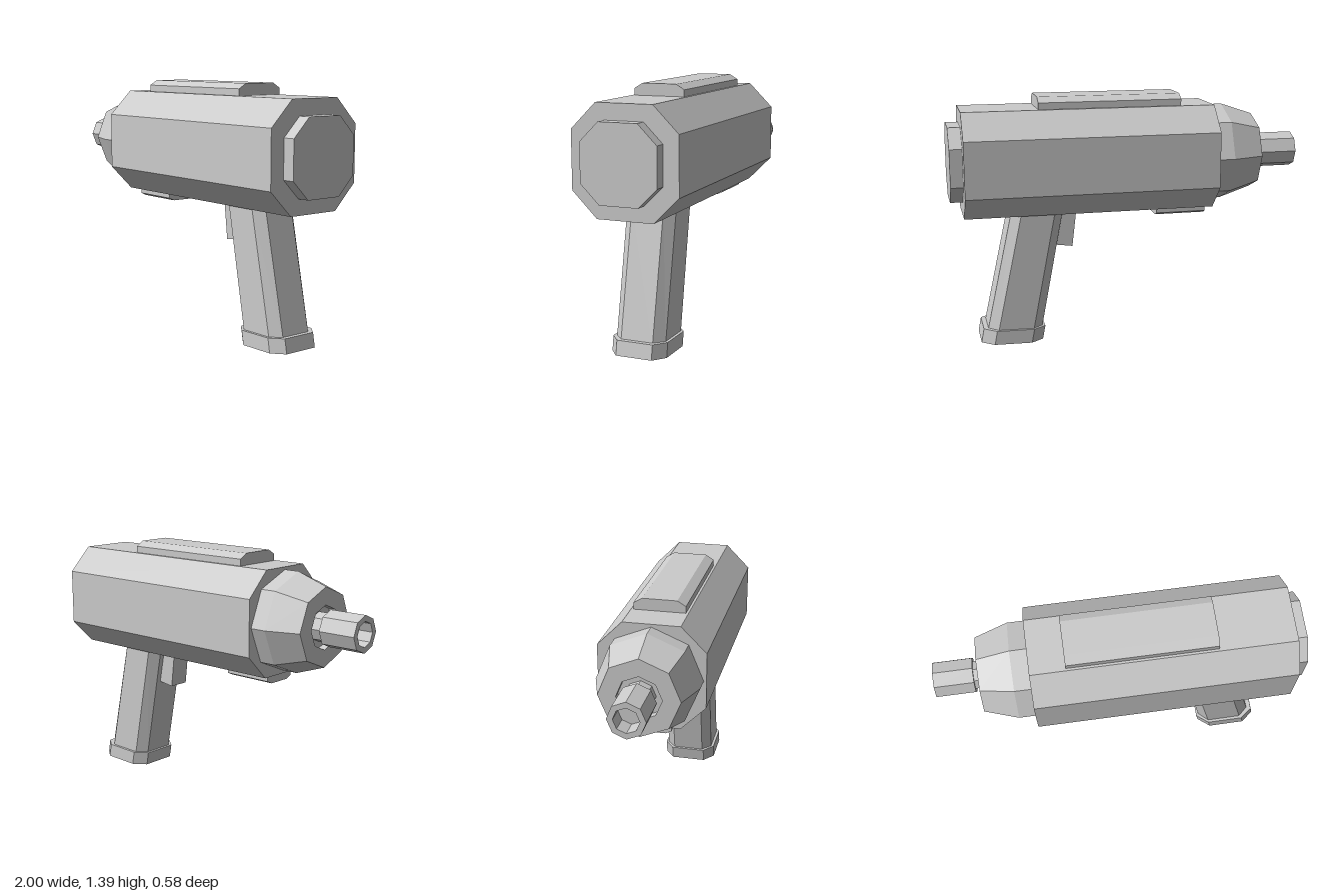
import * as THREE from 'three';

const AXIS_Y = 1.033; // height of the barrel axis

export function createModel() {
  const model = new THREE.Group();
  model.name = 'toolPistol';
  const material = new THREE.MeshStandardMaterial({ color: 0xcccccc, flatShading: true });

  function add(name, geometry) {
    const mesh = new THREE.Mesh(geometry, material);
    mesh.name = name;
    model.add(mesh);
    return mesh;
  }

  function polygon(points) {
    return new THREE.Shape(points.map(([x, y]) => new THREE.Vector2(x, y)));
  }

  // Octagon made from a rectangle of half sizes a, b with corners cut by ca, cb
  function chamfered(a, b, ca, cb) {
    return polygon([
      [a, cb - b], [a, b - cb], [a - ca, b], [ca - a, b],
      [-a, b - cb], [-a, cb - b], [ca - a, -b], [a - ca, -b],
    ]);
  }

  // Extrude a (z, y) outline along x from x0 to x1
  function alongX(shape, x0, x1) {
    return new THREE.ExtrudeGeometry(shape, { depth: x1 - x0, bevelEnabled: false })
      .rotateY(Math.PI / 2).translate(x0, 0, 0);
  }

  // Extrude an (x, z) outline upward, then lean and taper it
  function leaning(shape, y0, y1, xLow, xHigh, taper, tilt) {
    const geometry = new THREE.ExtrudeGeometry(shape, { depth: 1, bevelEnabled: false })
      .rotateX(-Math.PI / 2);
    const p = geometry.attributes.position;
    for (let i = 0; i < p.count; i++) {
      const t = p.getY(i);
      const x = p.getX(i) * THREE.MathUtils.lerp(1, taper, t);
      p.setX(i, x + THREE.MathUtils.lerp(xLow, xHigh, t));
      p.setY(i, THREE.MathUtils.lerp(y0, y1, t) + x * tilt);
    }
    geometry.computeVertexNormals();
    return geometry;
  }

  // Eight-sided turned part on the barrel axis; profile pairs are [radius, x]
  function turned(profile) {
    const points = profile.map(([r, x]) => new THREE.Vector2(r, -x));
    return new THREE.LatheGeometry(points, 8).rotateZ(Math.PI / 2).translate(0, AXIS_Y, 0);
  }

  // Main housing and rear cap
  add('body', alongX(chamfered(0.292, 0.292, 0.137, 0.137), -0.48, 0.93).translate(0, AXIS_Y, 0));
  add('rearCap', alongX(chamfered(0.208, 0.206, 0.102, 0.102), 0.92, 1).translate(0, AXIS_Y, 0));

  // Tapered nose with a shallow recess around the neck
  add('nose', turned([
    [0, -0.47], [0.277, -0.47], [0.277, -0.57], [0.216, -0.752],
    [0.12, -0.752], [0.12, -0.71], [0, -0.71],
  ]));
  add('neck', turned([[0.08, -0.7], [0.08, -0.79]]));
  // Hollow barrel
  add('barrel', turned([
    [0, -0.785], [0.1, -0.785], [0.1, -1], [0.068, -1], [0.068, -0.9], [0, -0.9],
  ]));

  // Top rail and underside pad
  add('topRail', alongX(polygon([
    [0.142, 1.31], [0.142, 1.362], [0.095, 1.39], [-0.095, 1.39], [-0.142, 1.362], [-0.142, 1.31],
  ]), -0.29, 0.512));
  add('undersidePad', alongX(polygon([
    [-0.1, 0.75], [-0.1, 0.706], [-0.065, 0.69], [0.065, 0.69], [0.1, 0.706], [0.1, 0.75],
  ]), -0.452, -0.165));

  // Raked grip with its foot
  add('grip', leaning(chamfered(0.155, 0.14, 0.055, 0.05), 0.06, 0.76, 0.664, 0.521, 0.935, 0));
  add('gripFoot', leaning(chamfered(0.175, 0.156, 0.07, 0.055), 0.004, 0.083, 0.68, 0.665, 1, 0.02));

  // Trigger
  add('trigger', new THREE.ExtrudeGeometry(
    polygon([[0.293, 0.76], [0.32, 0.53], [0.45, 0.548], [0.43, 0.76]]),
    { depth: 0.12, bevelEnabled: false },
  ).translate(0, 0, -0.06));

  return model;
}
